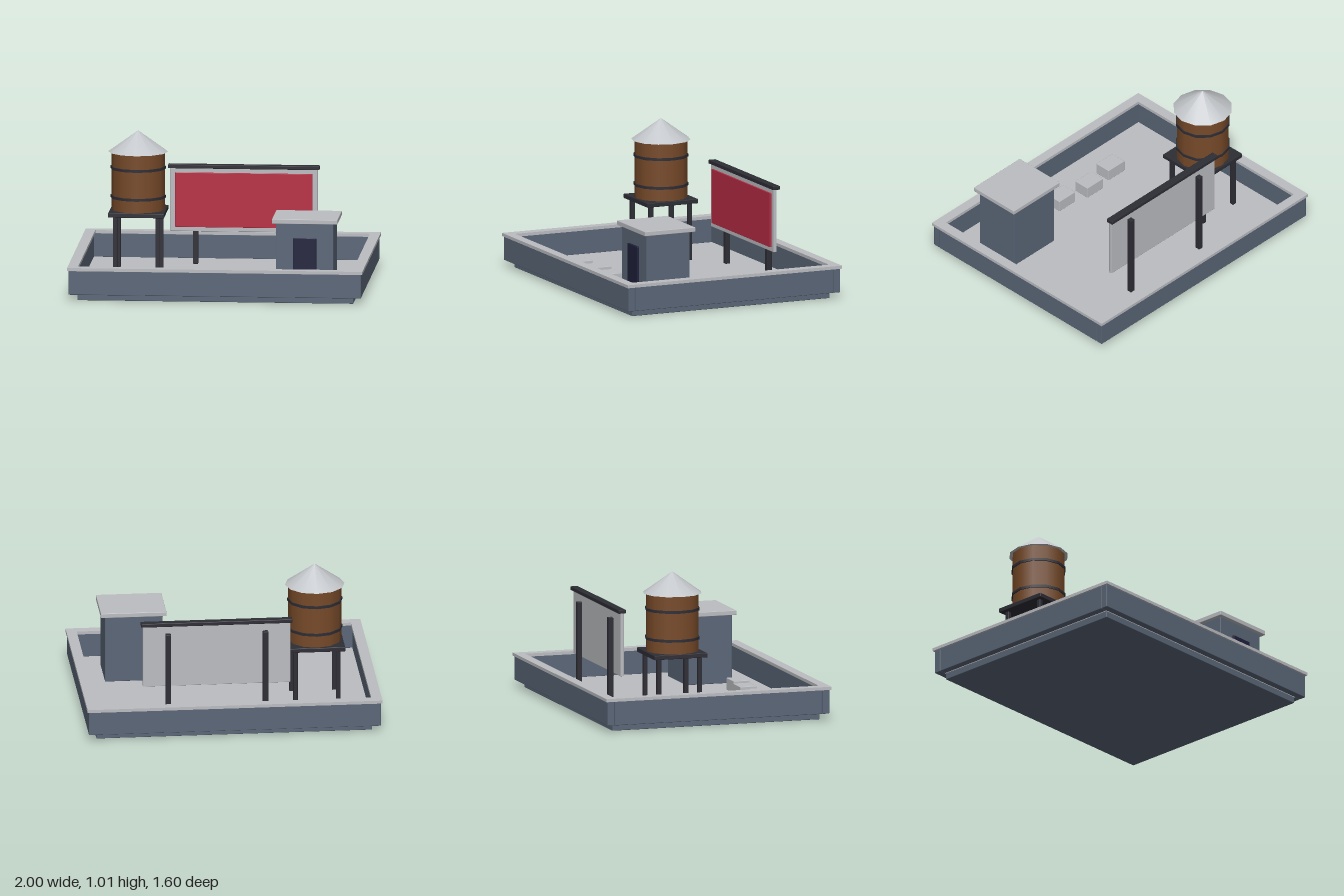
import * as THREE from 'three';
import { RoundedBoxGeometry } from 'three/addons/geometries/RoundedBoxGeometry.js';

const mat = (name, color) => {
  const m = new THREE.MeshStandardMaterial({ color });
  m.name = name;
  return m;
};

export function createModel() {
  const root = new THREE.Group();
  root.name = 'rooftop';
  const wall = mat('slate wall', 0x5a6677);
  const stone = mat('pale concrete', 0xbcbdc1);
  const dark = mat('dark steel', 0x2d2d35);
  const wood = mat('barrel wood', 0x774a29);
  const tin = mat('tin roof', 0xc2c5c9);
  const red = mat('red panel', 0xb82b42);
  const navy = mat('navy door', 0x20203c);

  const FLOOR = 0.047;
  const group = (name) => {
    const g = new THREE.Group();
    g.name = name;
    root.add(g);
    return g;
  };
  const add = (parent, name, geometry, material, x, y, z) => {
    const m = new THREE.Mesh(geometry, material);
    m.name = name;
    m.position.set(x, y, z);
    parent.add(m);
    return m;
  };
  // Softly bevelled box given by its min and max on each axis
  const box = (parent, name, material, x0, x1, y0, y1, z0, z1) => {
    const w = x1 - x0, h = y1 - y0, d = z1 - z0;
    const r = Math.min(0.004, Math.min(w, h, d) * 0.25);
    return add(parent, name, new RoundedBoxGeometry(w, h, d, 1, r), material,
      (x0 + x1) / 2, (y0 + y1) / 2, (z0 + z1) / 2);
  };

  // Slab with a pale deck on top
  const base = group('base');
  box(base, 'slab', wall, -0.935, 0.935, 0, 0.045, -0.738, 0.738);
  add(base, 'deck', new THREE.BoxGeometry(1.88, 0.004, 1.48), stone, 0, FLOOR - 0.002, 0);

  // Parapet walls
  const parapet = group('parapet');
  for (const s of [-1, 1]) {
    const z = s * 0.765, x = s * 0.965;
    box(parapet, 'longWall', wall, -0.99, 0.99, 0.045, 0.21, z - 0.025, z + 0.025);
    box(parapet, 'sideWall', wall, x - 0.025, x + 0.025, 0.045, 0.21, -0.738, 0.738);
  }

  // One-piece coping ring on the parapet
  const ring = new THREE.Shape([[-1, -0.8], [1, -0.8], [1, 0.8], [-1, 0.8]]
    .map(([x, y]) => new THREE.Vector2(x, y)));
  ring.holes.push(new THREE.Path([[-0.93, -0.733], [-0.93, 0.733], [0.93, 0.733], [0.93, -0.733]]
    .map(([x, y]) => new THREE.Vector2(x, y))));
  const coping = new THREE.ExtrudeGeometry(ring, { depth: 0.021, bevelEnabled: false });
  coping.rotateX(-Math.PI / 2);
  add(parapet, 'coping', coping, stone, 0, 0.209, 0);

  // Water tower
  const tower = group('waterTower');
  tower.position.set(-0.597, 0, -0.198);
  for (const sx of [-1, 1]) for (const sz of [-1, 1]) {
    const x = sx * 0.145, z = sz * 0.145;
    box(tower, 'leg', dark, x - 0.015, x + 0.015, FLOOR, 0.445, z - 0.015, z + 0.015);
  }
  box(tower, 'platform', dark, -0.19, 0.19, 0.44, 0.47, -0.19, 0.19);
  add(tower, 'barrel', new THREE.CylinderGeometry(0.18, 0.18, 0.395, 12), wood, 0, 0.6675, 0);
  for (const y of [0.56, 0.758])
    add(tower, 'hoop', new THREE.CylinderGeometry(0.187, 0.187, 0.018, 12), dark, 0, y, 0);
  add(tower, 'coneRoof', new THREE.ConeGeometry(0.202, 0.145, 12), tin, 0, 0.9375, 0);

  // Billboard
  const billboard = group('billboard');
  box(billboard, 'board', stone, -0.403, 0.597, 0.275, 0.708, -0.502, -0.477);
  box(billboard, 'panel', red, -0.368, 0.562, 0.305, 0.678, -0.478, -0.465);
  box(billboard, 'topRail', dark, -0.416, 0.61, 0.706, 0.732, -0.52, -0.467);
  for (const x of [-0.233, 0.427])
    box(billboard, 'post', dark, x - 0.018, x + 0.018, FLOOR, 0.655, -0.537, -0.501);

  // Stair hut
  const hut = group('stairHut');
  box(hut, 'hutWalls', wall, 0.395, 0.785, FLOOR, 0.516, 0.235, 0.56);
  box(hut, 'hutRoof', stone, 0.37, 0.815, 0.514, 0.546, 0.207, 0.585);
  box(hut, 'door', navy, 0.512, 0.67, FLOOR, 0.415, 0.555, 0.575);

  // Air units with a round fan on the front
  for (const [x, z] of [[-0.413, 0.492], [-0.175, 0.46], [0.063, 0.492]]) {
    const unit = group('airUnit');
    unit.position.set(x, 0, z);
    box(unit, 'casing', stone, -0.077, 0.077, FLOOR, 0.13, -0.058, 0.058);
    const fan = new THREE.CylinderGeometry(0.034, 0.034, 0.008, 12);
    fan.rotateX(Math.PI / 2);
    add(unit, 'fan', fan, dark, 0, 0.088, 0.06);
  }
  return root;
}
